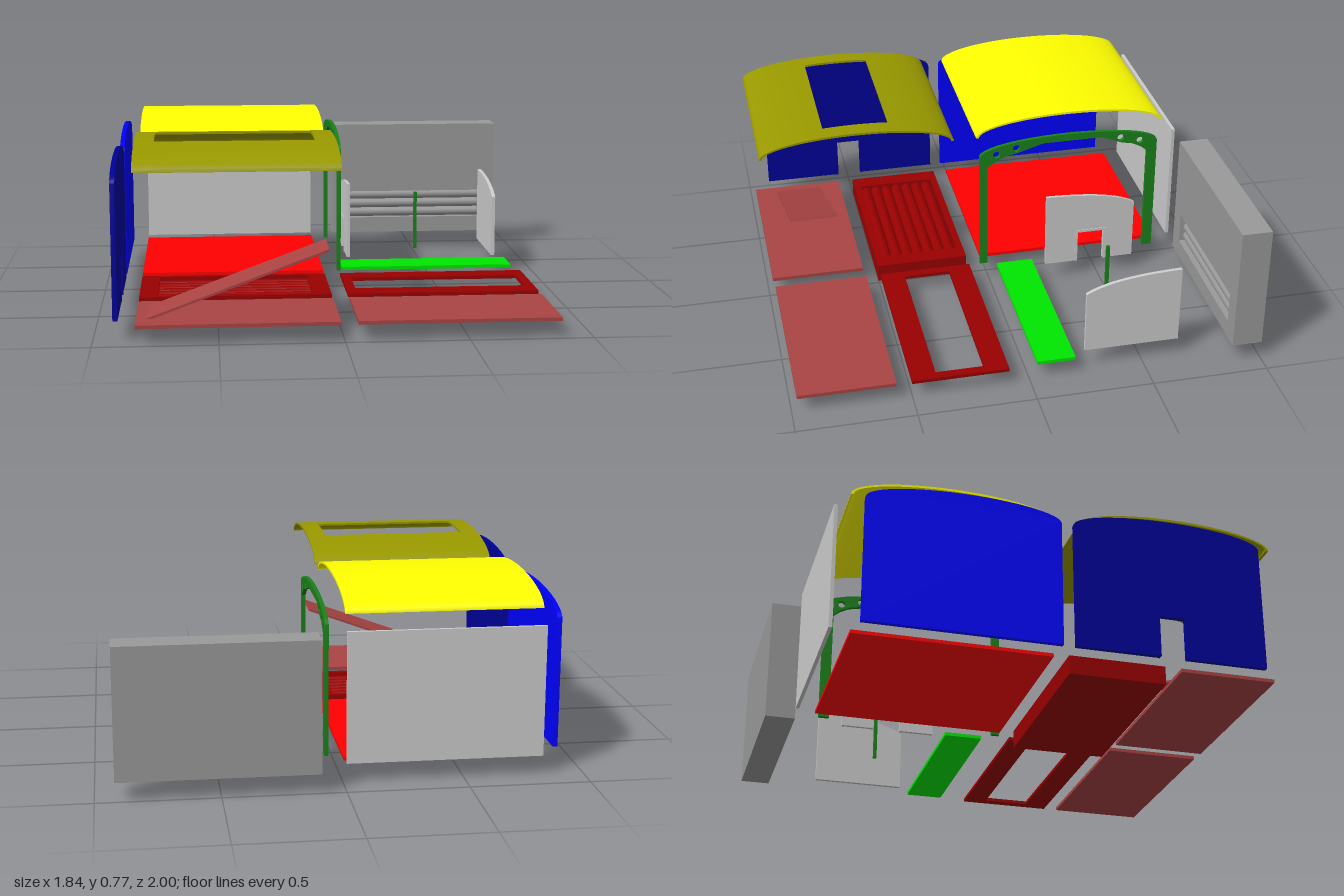
import * as THREE from 'three';
import { toCreasedNormals } from 'three/addons/utils/BufferGeometryUtils.js';

const mats = {};
const mat = (color) => (mats[color] ??= new THREE.MeshStandardMaterial({ color }));
const GREY = 0xcccccc, DARK_GREY = 0x999999, RED = 0xff0000, DARK_RED = 0x990000, BROWN = 0xaa4444;
const BLUE = 0x0000ff, DARK_BLUE = 0x000099, YELLOW = 0xffff00, OLIVE = 0x999900;
const GREEN = 0x00e600, DARK_GREEN = 0x1a801a;

export function createModel() {
  const root = new THREE.Group();

  function add(name, geometry, color, parent = root) {
    const mesh = new THREE.Mesh(geometry, mat(color));
    mesh.name = name;
    parent.add(mesh);
    return mesh;
  }
  function group(name) {
    const g = new THREE.Group();
    g.name = name;
    root.add(g);
    return g;
  }
  // Box given by its limits on each axis
  function box(name, [x0, x1], [y0, y1], [z0, z1], color, parent) {
    const g = new THREE.BoxGeometry(x1 - x0, y1 - y0, z1 - z0);
    g.translate((x0 + x1) / 2, (y0 + y1) / 2, (z0 + z1) / 2);
    return add(name, g, color, parent);
  }
  // Outline drawn in (z, y), extruded along x
  function profile(name, shape, [x0, x1], color, parent) {
    const g = new THREE.ExtrudeGeometry(shape, { depth: x1 - x0, bevelEnabled: false, curveSegments: 24 });
    g.rotateY(-Math.PI / 2).translate(x1, 0, 0);
    return add(name, toCreasedNormals(g, 0.5), color, parent);
  }
  const poly = (pts) => new THREE.Shape(pts.map(([a, b]) => new THREE.Vector2(a, b)));
  const rect = (a0, a1, b0, b1) => poly([[a0, b0], [a1, b0], [a1, b1], [a0, b1]]);
  // Flat frame in (x, y), with its thickness from 0 to depth in z
  function frame(outer, inner, depth) {
    const s = rect(...outer);
    s.holes.push(rect(...inner));
    return new THREE.ExtrudeGeometry(s, { depth, bevelEnabled: false });
  }
  // Points along a half-ellipse
  function arc(cz, rz, y0, ry, from, to, n = 40) {
    return Array.from({ length: n + 1 }, (_, i) => {
      const t = from + ((to - from) * i) / n;
      return [cz + rz * Math.cos(t), y0 + ry * Math.sin(t)];
    });
  }

  const leftX = [-0.83, -0.015], rightX = [0.055, 0.875], floorY = [0.065, 0.08];

  // Curved roofs
  function roofPart(name, cz, x, z0, z1, color, parent) {
    const ang = (z, r) => Math.acos(THREE.MathUtils.clamp((z - cz) / r, -1, 1));
    const outer = arc(cz, 0.43, 0.688, 0.087, ang(z1, 0.43), ang(z0, 0.43));
    const inner = arc(cz, 0.418, 0.688, 0.077, ang(z1, 0.418), ang(z0, 0.418));
    profile(name, poly([...outer, ...inner.reverse()]), x, color, parent);
  }
  roofPart('rearRoof', -0.39, leftX, -0.82, 0.04, YELLOW);
  const frontRoof = group('frontRoof');
  roofPart('roofSide', 0.57, [-0.83, -0.75], 0.14, 1, OLIVE, frontRoof);
  roofPart('roofSide', 0.57, [-0.1, -0.015], 0.14, 1, OLIVE, frontRoof);
  roofPart('roofEdge', 0.57, [-0.75, -0.1], 0.14, 0.42, OLIVE, frontRoof);
  roofPart('roofEdge', 0.57, [-0.75, -0.1], 0.71, 1, OLIVE, frontRoof);

  // Arched end walls
  const archTop = (cz) => arc(cz, 0.408, 0.63, 0.075, 0, Math.PI);
  profile('rearEndWall', poly([[-0.775, 0.08], [0.04, 0.08], ...archTop(-0.367)]), [-0.92, -0.9], BLUE);
  const door = [[0.45, 0.08], [0.45, 0.26], [0.56, 0.26], [0.56, 0.08]];
  profile('frontEndWall', poly([[0.092, 0.08], ...door, [0.908, 0.08], ...archTop(0.5)]), [-0.92, -0.9], DARK_BLUE);

  // Raised trim round a doorway
  function doorTrim(x, z0, z1, top, color) {
    const t = 0.012;
    profile('doorTrim', poly([[z0 - t, 0.08], [z0, 0.08], [z0, top], [z1, top], [z1, 0.08],
      [z1 + t, 0.08], [z1 + t, top + t], [z0 - t, top + t]]), x, color);
  }
  doorTrim([-0.922, -0.898], 0.45, 0.56, 0.26, DARK_BLUE);

  // Open arch with bolt holes
  const arch = poly([[-0.775, 0.08], [-0.73, 0.08], [-0.73, 0.58], [-0.7, 0.605], [-0.66, 0.625], [-0.61, 0.635],
    [-0.517, 0.672], [-0.25, 0.672], [-0.126, 0.635], [-0.075, 0.625], [-0.035, 0.605], [0.005, 0.58],
    [0.005, 0.08], [0.04, 0.08], ...archTop(-0.367)]);
  for (const [z, y] of [[-0.035, 0.637], [-0.125, 0.66], [-0.605, 0.66], [-0.695, 0.637]])
    arch.holes.push(new THREE.Path().absarc(z, y, 0.016, 0, Math.PI * 2, true));
  profile('arch', arch, [0.045, 0.062], DARK_GREEN);

  // Floor panels
  box('rearFloor', leftX, floorY, [-0.8, 0.025], RED);
  box('leftFloorPanel', leftX, floorY, [0.57, 0.98], BROWN);
  box('rightFloorPanel', rightX, floorY, [0.565, 0.975], BROWN);
  box('floorStrip', [0.075, 0.855], floorY, [-0.2, -0.035], GREEN);
  const openFrame = frame([0.055, 0.875, -0.5, -0.09], [0.095, 0.835, -0.395, -0.19], 0.015);
  add('floorFrame', openFrame.rotateX(-Math.PI / 2).translate(0, 0.065, 0), DARK_RED);

  // Sloping ramp
  const ramp = add('ramp', new THREE.BoxGeometry(0.778, 0.01, 0.21), BROWN);
  ramp.position.set(-0.418, 0.214, 0.775);
  ramp.rotation.z = Math.atan2(0.27, 0.73);

  // Row of rods lying along x inside a recess
  function rods(parent, cx, length, radius, centres, color) {
    for (const [y, z] of centres) {
      const g = new THREE.CylinderGeometry(radius, radius, length, 24).rotateZ(Math.PI / 2);
      add('rod', g.translate(cx, y, z), color, parent);
    }
  }

  // Base block with ribbed recess in its top
  const base = group('base');
  box('baseBottom', leftX, [0, 0.035], [0.09, 0.5], DARK_RED, base);
  const baseRim = frame([-0.83, -0.015, -0.5, -0.09], [-0.75, -0.095, -0.47, -0.12], 0.045);
  add('baseRim', baseRim.rotateX(-Math.PI / 2).translate(0, 0.035, 0), DARK_RED, base);
  rods(base, -0.4225, 0.655, 0.025, Array.from({ length: 7 }, (_, i) => [0.045, 0.145 + i * 0.05]), DARK_RED);

  // Thick wall with ribbed recess in its front
  const thickWall = group('thickWall');
  box('wallBack', [0.1, 0.92], [0.08, 0.63], [-1, -0.92], DARK_GREY, thickWall);
  const wallFace = frame([0.1, 0.92, 0.08, 0.63], [0.18, 0.84, 0.155, 0.29], 0.05);
  add('wallFace', wallFace.translate(0, 0, -0.92), DARK_GREY, thickWall);
  rods(thickWall, 0.51, 0.66, 0.0225, [0, 1, 2].map((i) => [0.1775 + i * 0.045, -0.91]), DARK_GREY);

  // Thin back wall
  box('backWall', leftX, [0.08, 0.63], [-0.885, -0.87], GREY);

  // Partitions with curved tops
  function curvedTop(shape, z0, y0, z1, y1) {
    shape.lineTo(z0, y0);
    shape.bezierCurveTo(z0 + (z1 - z0) * 0.2, y0 + 0.045, z0 + (z1 - z0) * 0.5, y1 - 0.005, z1, y1);
    return shape;
  }
  const plain = new THREE.Shape().moveTo(-0.66, 0.08).lineTo(-0.25, 0.08);
  profile('rightPartition', curvedTop(plain, -0.25, 0.36, -0.66, 0.43), [0.802, 0.818], GREY);
  const withDoor = poly([[-0.25, 0.08], [-0.4, 0.08], [-0.4, 0.23], [-0.52, 0.23], [-0.52, 0.08], [-0.66, 0.08]]);
  profile('leftPartition', curvedTop(withDoor, -0.66, 0.36, -0.25, 0.43), [0.116, 0.13], GREY);
  doorTrim([0.113, 0.133], -0.52, -0.4, 0.23, GREY);

  // Post
  box('post', [0.455, 0.47], [0.08, 0.355], [-0.45, -0.435], DARK_GREEN);

  return root;
}
